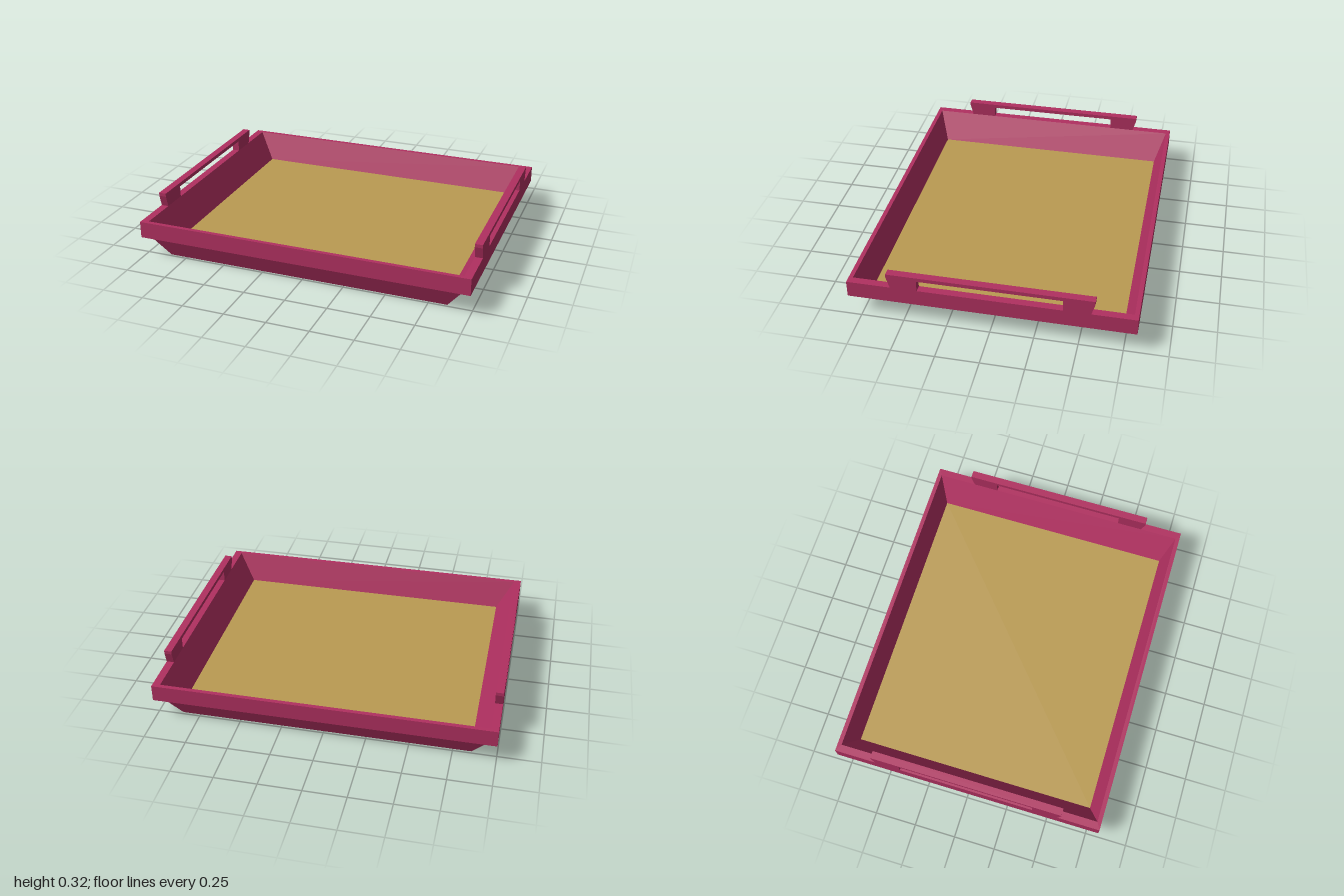
import * as THREE from 'three';

const pink = new THREE.MeshStandardMaterial({ color: 0xb03060, flatShading: true });
const tan = new THREE.MeshStandardMaterial({ color: 0xba9b52, flatShading: true });

// Skins rectangular sections [halfWidth, halfDepth, y] with flat quads.
function rectLoft(sections) {
  const corners = [[1, 1], [1, -1], [-1, -1], [-1, 1]];
  const pos = [];
  const point = (s, i) => [s[0] * corners[i % 4][0], s[2], s[1] * corners[i % 4][1]];
  for (let k = 0; k < sections.length - 1; k++) {
    for (let i = 0; i < 4; i++) {
      const a = point(sections[k], i), b = point(sections[k], i + 1);
      const c = point(sections[k + 1], i + 1), d = point(sections[k + 1], i);
      pos.push(...a, ...b, ...c, ...a, ...c, ...d);
    }
  }
  const geo = new THREE.BufferGeometry();
  geo.setAttribute('position', new THREE.Float32BufferAttribute(pos, 3));
  geo.computeVertexNormals();
  return geo;
}

export function createModel() {
  const tray = new THREE.Group();
  tray.name = 'tray';
  const add = (name, geo, mat) => {
    const mesh = new THREE.Mesh(geo, mat);
    mesh.name = name;
    tray.add(mesh);
    return mesh;
  };

  // Tapered basin, overhanging rim and sloped inner walls
  add('basinAndRim', rectLoft([
    [0.855, 0.735, 0],
    [0.952, 0.793, 0.13],
    [1, 0.82, 0.13],
    [1, 0.82, 0.23],
    [0.955, 0.795, 0.23],
    [0.855, 0.735, 0.057],
  ]), pink);

  // Underside and inlaid floor
  add('underside', new THREE.PlaneGeometry(1.71, 1.47).rotateX(Math.PI / 2), pink);
  add('floor', new THREE.PlaneGeometry(1.71, 1.47).rotateX(-Math.PI / 2), tan).position.y = 0.057;

  // Flared handles with a long grip slot, standing on the side rims
  const half = [[0.41, 0.23], [0.565, 0.23], [0.585, 0.3], [0.585, 0.32]];
  const outline = [[0.41, 0.297], ...half, ...half.map(([z, y]) => [-z, y]).reverse(), [-0.41, 0.297]];
  const shape = new THREE.Shape(outline.map(([z, y]) => new THREE.Vector2(z, y)));
  const grip = new THREE.ExtrudeGeometry(shape, { depth: 0.045, bevelEnabled: false })
    .translate(0, 0, -0.0225)
    .rotateY(-Math.PI / 2);
  for (const [name, side] of [['leftHandle', 1], ['rightHandle', -1]]) {
    add(name, grip, pink).position.x = side * 0.9775;
  }
  return tray;
}
